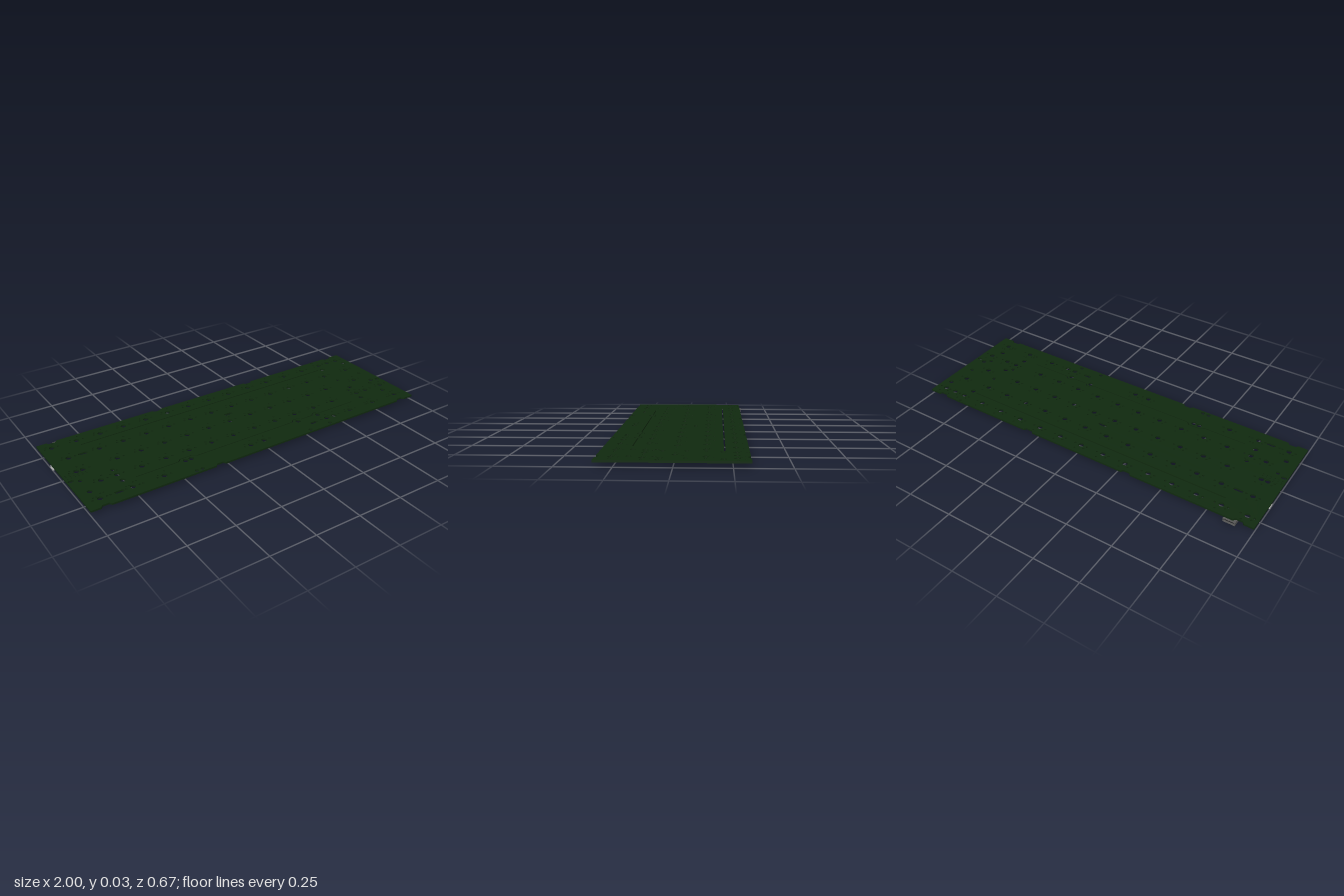
import * as THREE from 'three';

const U = 0.1343;            // key pitch
const MM = U / 19.05;        // one millimetre
const TOP = 0.03, BOTTOM = 0.0205;
const BACK = -0.327, FRONT = 0.335;

const run = (start, count) => Array.from({ length: count }, (_, i) => start + i);

// Key centres per row, in key units from the middle; alternates last
const rows = [
  [...run(-7, 13), 6.5, 6, 7],
  [-6.75, ...run(-5.5, 12), 6.75],
  [-6.625, ...run(-5.25, 11), 6.375, -6.875],
  [-6.375, ...run(-4.75, 10), 6.125, 5.625, 7, -5.75],
  [-6.875, -5.625, -4.375, -0.625, 3.125, 4.375, 5.625, 6.875, 0, -6.75, -5.5, 3.5, 5.5, 6.75],
];
const rowZ = (r) => (r - 2) * U;

export function createModel() {
  const group = new THREE.Group();
  const mat = (color) => new THREE.MeshStandardMaterial({ color });
  const green = mat(0x10290f), dark = mat(0x333333), black = mat(0x1c1c1c);
  const steel = mat(0x555555), grey = mat(0xcccccc);

  // Board outline with shallow notches on the long edges
  const outline = new THREE.Shape();
  const notch = (x, edge, dir, inward) => {
    [[-0.027, 0], [-0.018, 0.013], [0.018, 0.013], [0.027, 0]].forEach(([dx, d]) =>
      outline.lineTo(x + dx * dir, edge + d * inward));
  };
  outline.moveTo(-1, BACK);
  [-0.92, -0.305, 0.305, 0.91].forEach((x) => notch(x, BACK, 1, 1));
  outline.lineTo(1, BACK);
  outline.lineTo(1, FRONT);
  [0.91, -0.305, -0.92].forEach((x) => notch(x, FRONT, -1, -1));
  outline.lineTo(-1, FRONT);
  outline.closePath();

  // Round holes and slots, skipping any that would run into an earlier one
  const cut = [];
  const hole = (x, z, r, half = 0) => {
    r = Math.min(r, z - BACK - 0.001, FRONT - z - 0.001);
    const clash = cut.some((c) => {
      const dx = Math.max(0, Math.abs(x - c.x) - half - c.half);
      return Math.hypot(dx, z - c.z) < r + c.r + 0.0008;
    });
    if (clash) return;
    cut.push({ x, z, r, half });
    const path = new THREE.Path();
    const n = r > 0.01 ? 16 : 10;
    const pts = [];
    for (let i = 0; i <= n; i++) {
      if (i === n && !half) break;
      const a = -Math.PI / 2 + (i / n) * Math.PI * (half ? 1 : 2);
      pts.push(new THREE.Vector2(x + half + r * Math.cos(a), z + r * Math.sin(a)));
    }
    if (half) pts.push(...pts.map((p) => new THREE.Vector2(2 * x - p.x, 2 * z - p.y)));
    path.setFromPoints(pts);
    outline.holes.push(path);
  };

  // Switch holes: centre, two side pegs, two contact pins
  const keys = rows.flatMap((xs, r) => xs.map((x) => [x * U, rowZ(r)]));
  keys.forEach(([x, z]) => hole(x, z, 2.05 * MM));
  keys.forEach(([x, z]) => {
    hole(x - 5.08 * MM, z, 0.87 * MM);
    hole(x + 5.08 * MM, z, 0.87 * MM);
    hole(x - 3.81 * MM, z - 2.54 * MM, 0.75 * MM);
    hole(x + 2.54 * MM, z - 5.08 * MM, 0.75 * MM);
  });

  // Stabiliser holes for wide keys: [key x, row, half span in mm, direction]
  [[6.5, 0, 11.94, 1], [6.375, 2, 11.94, 1], [-6.375, 3, 11.94, 1], [6.125, 3, 11.94, 1],
    [-0.625, 4, 50, -1], [0, 4, 57.15, -1]].forEach(([x, r, span, dir]) => {
    for (const s of [-1, 1]) {
      hole(x * U + s * span * MM, rowZ(r) - dir * 7 * MM, 1.53 * MM);
      hole(x * U + s * span * MM, rowZ(r) + dir * 8.24 * MM, 1.99 * MM);
    }
  });

  // Mounting slots
  [[0, -0.067, 0.016], [-0.83, -0.134, 0.016], [-0.1, 0, 0.022], [-0.98, 0.067, 0.006],
    [0.98, 0.067, 0.006], [-0.825, 0.269, 0.016], [0.33, 0.269, 0.014], [0.84, 0.269, 0.016],
    [0.84, -0.134, 0.016]].forEach(([x, z, half]) => hole(x, z, 0.009, half));

  // Header pin holes at the right-hand edge
  for (let i = 0; i < 6; i++)
    for (let j = 0; j < 3; j++) hole(-0.985 + i * 0.02, 0.012 + j * 0.014, 0.0035);

  // Flex cuts: thin slits that follow a centre line
  const slit = (pts, w) => {
    const side = (d) => pts.map(([x, z], i) => {
      const a = pts[Math.max(0, i - 1)], b = pts[Math.min(pts.length - 1, i + 1)];
      const dx = b[0] - a[0], dz = b[1] - a[1], l = Math.hypot(dx, dz);
      return new THREE.Vector2(x - (dz / l) * d, z + (dx / l) * d);
    });
    outline.holes.push(new THREE.Path([...side(w / 2), ...side(-w / 2).reverse()]));
  };
  slit([[-0.803, -0.217], [0.76, -0.217]], 0.007);
  const lower = [[-0.706, 0.203]];
  [[-0.465, -0.374], [0.24, 0.29], [0.376, 0.426]].forEach(([a, b]) =>
    lower.push([a - 0.006, 0.203], [a, 0.197], [a + 0.012, 0.186],
      [b - 0.012, 0.186], [b, 0.197], [b + 0.006, 0.203]));
  lower.push([0.657, 0.203]);
  slit(lower, 0.005);

  const boardGeo = new THREE.ExtrudeGeometry(outline, { depth: TOP - BOTTOM, bevelEnabled: false });
  boardGeo.rotateX(Math.PI / 2).translate(0, TOP, 0);
  const board = new THREE.Mesh(boardGeo, green);
  board.name = 'circuitBoard';
  group.add(board);

  // Parts hanging below the board
  const part = (name, x, z, w, h, d, material) => {
    const m = new THREE.Mesh(new THREE.BoxGeometry(w, h, d), material);
    m.position.set(x, BOTTOM - h / 2, z);
    m.name = name;
    group.add(m);
    return m;
  };

  // One diode with two leads per main key
  [14, 14, 13, 12, 8].forEach((count, r) => rows[r].slice(0, count).forEach((u) => {
    const x = u * U + 0.04, z = rowZ(r) + 0.015;
    part('diode', x, z, 0.019, 0.005, 0.012, black);
    part('diodeLeads', x, z, 0.026, 0.0015, 0.005, grey);
  }));

  // Controller chip with leads on four sides
  const cx = -0.8, cz = -0.005;
  part('controllerChip', cx, cz, 0.05, 0.008, 0.05, dark);
  for (let i = 0; i < 11; i++) {
    const o = (i - 5) * 0.0045;
    for (const s of [-1, 1]) {
      part('chipLead', cx + s * 0.03, cz + o, 0.01, 0.003, 0.002, grey);
      part('chipLead', cx + o, cz + s * 0.03, 0.002, 0.003, 0.01, grey);
    }
  }

  // Small components around the chip and connector
  part('crystal', -0.8, 0.038, 0.022, 0.01, 0.015, steel);
  [[-0.84, -0.055], [-0.8, -0.055], [-0.76, -0.055], [-0.82, -0.077], [-0.775, -0.077]]
    .forEach(([x, z]) => part('capacitor', x, z, 0.011, 0.006, 0.014, steel));
  part('protectionChip', -0.875, -0.25, 0.022, 0.009, 0.028, dark);
  part('fuse', -0.875, -0.224, 0.022, 0.007, 0.012, grey);

  // Cable socket on the back edge, with a dark mouth
  const w = 0.064, h = BOTTOM, zMid = -0.311;
  part('socketShell', -0.878, zMid + 0.012, w, h, 0.026, steel);
  for (const s of [-1, 1]) {
    part('socketWall', -0.878 + s * (w / 2 - 0.002), zMid - 0.013, 0.004, h, 0.024, steel);
    const plate = part('socketPlate', -0.878, zMid - 0.013, w, 0.003, 0.024, steel);
    plate.position.y = h / 2 + s * (h / 2 - 0.0015);
  }
  const tongue = part('socketTongue', -0.878, zMid - 0.01, 0.045, 0.005, 0.02, black);
  tongue.position.y = h / 2;

  // Side plug housing on the right-hand edge
  part('sideConnector', -0.977, -0.1285, 0.045, BOTTOM, 0.03, grey);

  return group;
}
